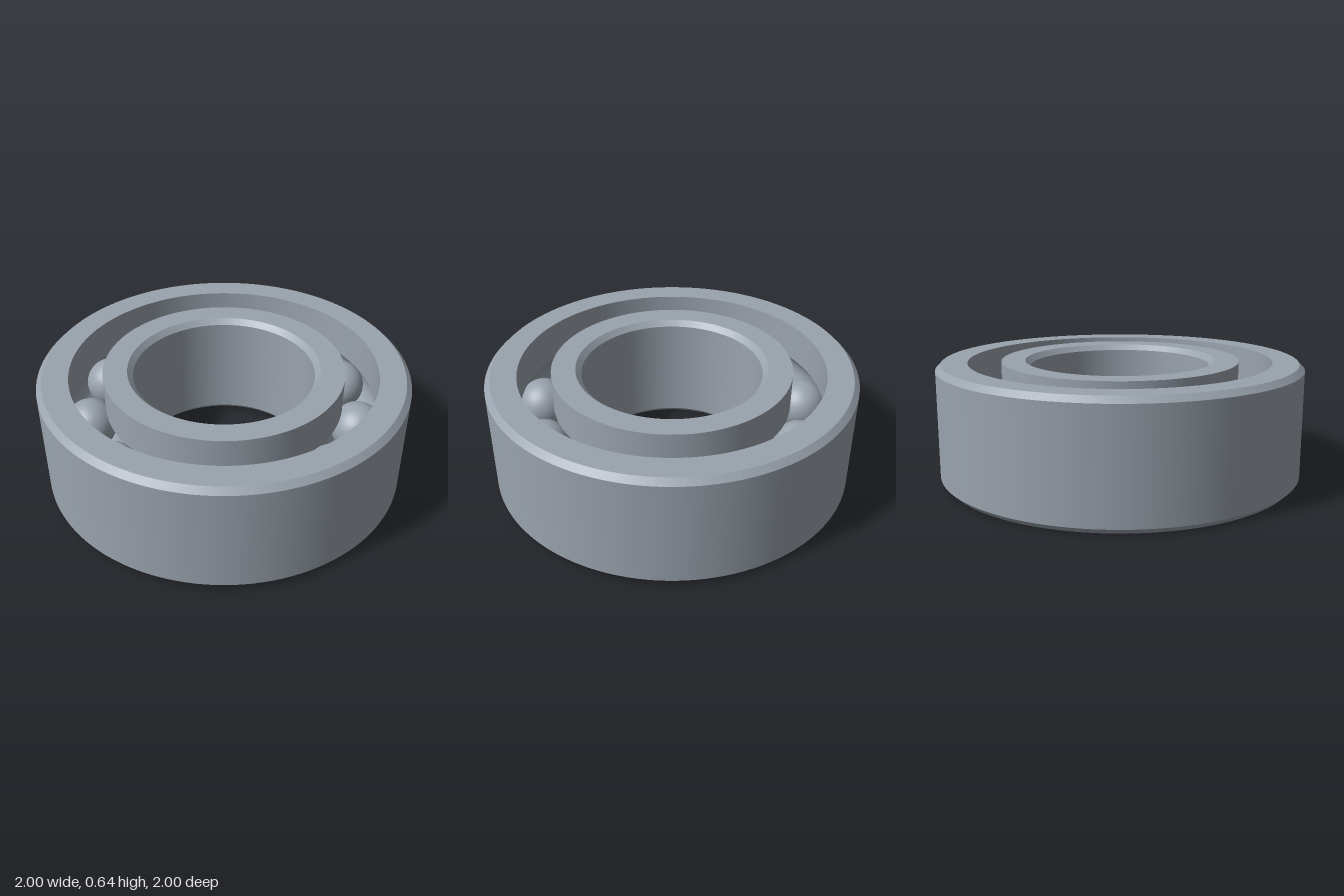
import * as THREE from 'three';
import { mergeGeometries } from 'three/addons/utils/BufferGeometryUtils.js';

const HEIGHT = 0.64, MID = HEIGHT / 2, CHAMFER = 0.03;
const PITCH = 0.74, BALL_RADIUS = 0.142, BALLS = 11;
const OUTER = 1, OUTER_INSIDE = 0.83, INNER_OUTSIDE = 0.65, BORE = 0.49;

// Lathe each smooth run on its own, so the edges between runs stay sharp.
function ring(name, runs, material) {
  const parts = runs.map(run =>
    new THREE.LatheGeometry(run.map(([r, y]) => new THREE.Vector2(r, y)), 128));
  const mesh = new THREE.Mesh(mergeGeometries(parts), material);
  mesh.name = name;
  return mesh;
}

// Straight runs along a chain of corners.
const straight = pts => pts.slice(1).map((p, i) => [pts[i], p]);

// Circular ball groove cut into the raceway wall at the given radius.
function groove(wall) {
  const r = BALL_RADIUS + 0.002;
  const side = Math.sign(wall - PITCH);
  const half = Math.acos(Math.abs(wall - PITCH) / r);
  return Array.from({ length: 17 }, (_, i) => {
    const a = half * (1 - i / 8);
    return [PITCH + side * r * Math.cos(a), MID + side * r * Math.sin(a)];
  });
}

export function createModel() {
  const model = new THREE.Group();
  model.name = 'ballBearing';
  const steel = new THREE.MeshStandardMaterial({ color: 0x9aa3ad });
  steel.name = 'steel';

  // Outer ring: chamfered outside, grooved inside
  const og = groove(OUTER_INSIDE);
  model.add(ring('outerRing', [
    ...straight([
      [OUTER_INSIDE, 0], [OUTER - CHAMFER, 0], [OUTER, CHAMFER],
      [OUTER, HEIGHT - CHAMFER], [OUTER - CHAMFER, HEIGHT],
      [OUTER_INSIDE, HEIGHT], og[0],
    ]),
    og,
    [og[16], [OUTER_INSIDE, 0]],
  ], steel));

  // Inner ring: grooved outside, chamfered bore
  const ig = groove(INNER_OUTSIDE);
  model.add(ring('innerRing', [
    ...straight([
      ig[16], [INNER_OUTSIDE, HEIGHT], [BORE + CHAMFER, HEIGHT],
      [BORE, HEIGHT - CHAMFER], [BORE, CHAMFER], [BORE + CHAMFER, 0],
      [INNER_OUTSIDE, 0], ig[0],
    ]),
    ig,
  ], steel));

  // Balls spaced evenly around the raceway
  const balls = new THREE.Group();
  balls.name = 'balls';
  const ballGeometry = new THREE.SphereGeometry(BALL_RADIUS, 40, 24);
  for (let i = 0; i < BALLS; i++) {
    const a = THREE.MathUtils.degToRad(3.9) + (i / BALLS) * Math.PI * 2;
    const ball = new THREE.Mesh(ballGeometry, steel);
    ball.name = 'ball';
    ball.position.set(PITCH * Math.sin(a), MID, -PITCH * Math.cos(a));
    balls.add(ball);
  }
  model.add(balls);
  return model;
}
